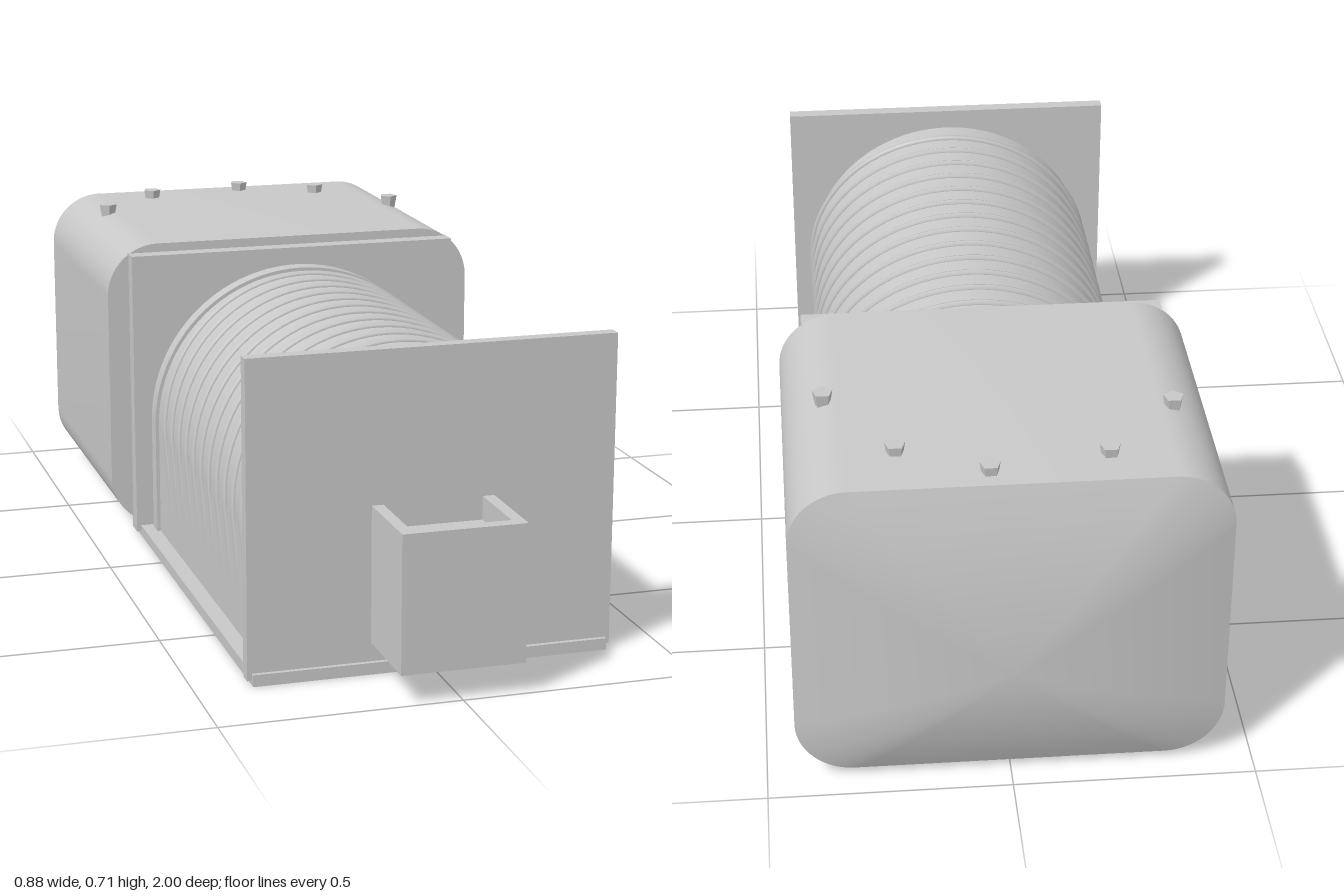
import * as THREE from 'three';
import { toCreasedNormals } from 'three/addons/utils/BufferGeometryUtils.js';

export function createModel() {
  const model = new THREE.Group();
  const grey = new THREE.MeshStandardMaterial({ color: 0xc8c8c8 });
  grey.name = 'plain grey';

  const add = (name, geometry, parent = model) => {
    const mesh = new THREE.Mesh(geometry, grey);
    mesh.name = name;
    parent.add(mesh);
    return mesh;
  };
  // box given by its limits on each axis
  const block = (name, x0, x1, y0, y1, z0, z1, parent) =>
    add(name, new THREE.BoxGeometry(x1 - x0, y1 - y0, z1 - z0), parent)
      .position.set((x0 + x1) / 2, (y0 + y1) / 2, (z0 + z1) / 2);
  const extrude = (shape, z0, z1, curveSegments) => {
    const g = new THREE.ExtrudeGeometry(shape, { depth: z1 - z0, bevelEnabled: false, curveSegments });
    g.translate(0, 0, z0);
    return toCreasedNormals(g, 0.6);
  };

  // base and the two upright end plates
  block('basePlate', -0.38, 0.38, 0, 0.025, -0.235, 0.815);
  block('frontPlate', -0.39, 0.39, 0.01, 0.675, 0.775, 0.805);
  block('rearPlate', -0.39, 0.39, 0.01, 0.675, -0.262, -0.215);

  // open tray box on the front plate
  const tray = new THREE.Group();
  tray.name = 'frontTray';
  model.add(tray);
  block('trayBody', -0.13, 0.13, 0.065, 0.305, 0.8, 1, tray);
  block('trayFrontWall', -0.13, 0.13, 0.305, 0.355, 0.972, 1, tray);
  for (const s of [-1, 1]) {
    block('traySideWall', s * 0.1175 - 0.0125, s * 0.1175 + 0.0125, 0.305, 0.355, 0.8, 0.972, tray);
  }

  // arched barrel between the plates
  const R = 0.345, CY = 0.285;
  const arch = (r) => {
    const s = new THREE.Shape();
    s.moveTo(-r, 0.02);
    s.lineTo(r, 0.02);
    s.lineTo(r, CY);
    s.absarc(0, CY, r, 0, Math.PI, false);
    return s;
  };
  add('barrel', extrude(arch(R), -0.22, 0.78, 24));
  add('barrelCollar', extrude(arch(R + 0.008), -0.2, -0.16, 24));

  // slanted ribs wrapped over the barrel, sinking into it low on the sides
  const ribs = new THREE.Group();
  ribs.name = 'barrelRibs';
  model.add(ribs);
  for (let i = 0; i < 13; i++) {
    const points = [];
    for (let k = 0; k <= 28; k++) {
      const a = -0.62 + (k / 28) * (Math.PI + 1.24);
      const low = a < 0 || a > Math.PI;
      const y = CY + R * Math.sin(a);
      const x = low ? Math.sign(Math.cos(a)) * (R - (CY - y) * 0.05) : R * Math.cos(a);
      const z = 0.71 - 0.069 * i + 0.13 * (CY + R - y) + 0.03 * x;
      points.push(new THREE.Vector3(x, y, Math.min(z, 0.768)));
    }
    add('rib', new THREE.TubeGeometry(new THREE.CatmullRomCurve3(points), 56, 0.009, 6), ribs);
  }

  // large rounded housing at the rear
  const W = 0.44, Y0 = 0.015, Y1 = 0.695, r = 0.12, ZB = -0.937;
  const outline = new THREE.Shape();
  outline.moveTo(-W + r, Y0);
  outline.lineTo(W - r, Y0);
  outline.absarc(W - r, Y0 + r, r, -Math.PI / 2, 0, false);
  outline.lineTo(W, Y1 - r);
  outline.absarc(W - r, Y1 - r, r, 0, Math.PI / 2, false);
  outline.lineTo(-W + r, Y1);
  outline.absarc(-W + r, Y1 - r, r, Math.PI / 2, Math.PI, false);
  outline.lineTo(-W, Y0 + r);
  outline.absarc(-W + r, Y0 + r, r, Math.PI, Math.PI * 1.5, false);
  add('rearHousing', extrude(outline, ZB, -0.255, 10));

  // shallow domed end: the outline shrinks towards a low peak
  const pts = outline.getPoints(10);
  if (pts[0].distanceTo(pts[pts.length - 1]) < 1e-5) pts.pop();
  const n = pts.length, rings = 10, pos = [], index = [];
  for (let j = 0; j <= rings; j++) {
    const s = 1 - j / rings;
    for (const p of pts) {
      pos.push(p.x * s, 0.28 + (p.y - 0.28) * s, ZB - 0.063 * (1 - s * s));
    }
  }
  for (let j = 0; j < rings; j++) {
    for (let k = 0; k < n; k++) {
      const a = j * n + k, b = j * n + (k + 1) % n;
      index.push(a, a + n, b);
      if (j < rings - 1) index.push(b, a + n, b + n);
    }
  }
  const dome = new THREE.BufferGeometry();
  dome.setAttribute('position', new THREE.Float32BufferAttribute(pos, 3));
  dome.setIndex(index);
  dome.computeVertexNormals();
  add('rearDome', dome);

  // five-sided studs above and below the housing
  const studs = [[-0.35, -0.675], [-0.2, -0.845], [0.04, -0.89], [0.22, -0.805], [0.355, -0.6]];
  const studShape = toCreasedNormals(new THREE.CylinderGeometry(0.022, 0.016, 0.036, 5), 0.3);
  for (const [x, z] of studs) {
    add('topStud', studShape).position.set(x, 0.697, z);
    const under = add('bottomStud', studShape);
    under.position.set(x, 0.023, z);
    under.rotation.z = Math.PI;
  }
  return model;
}
